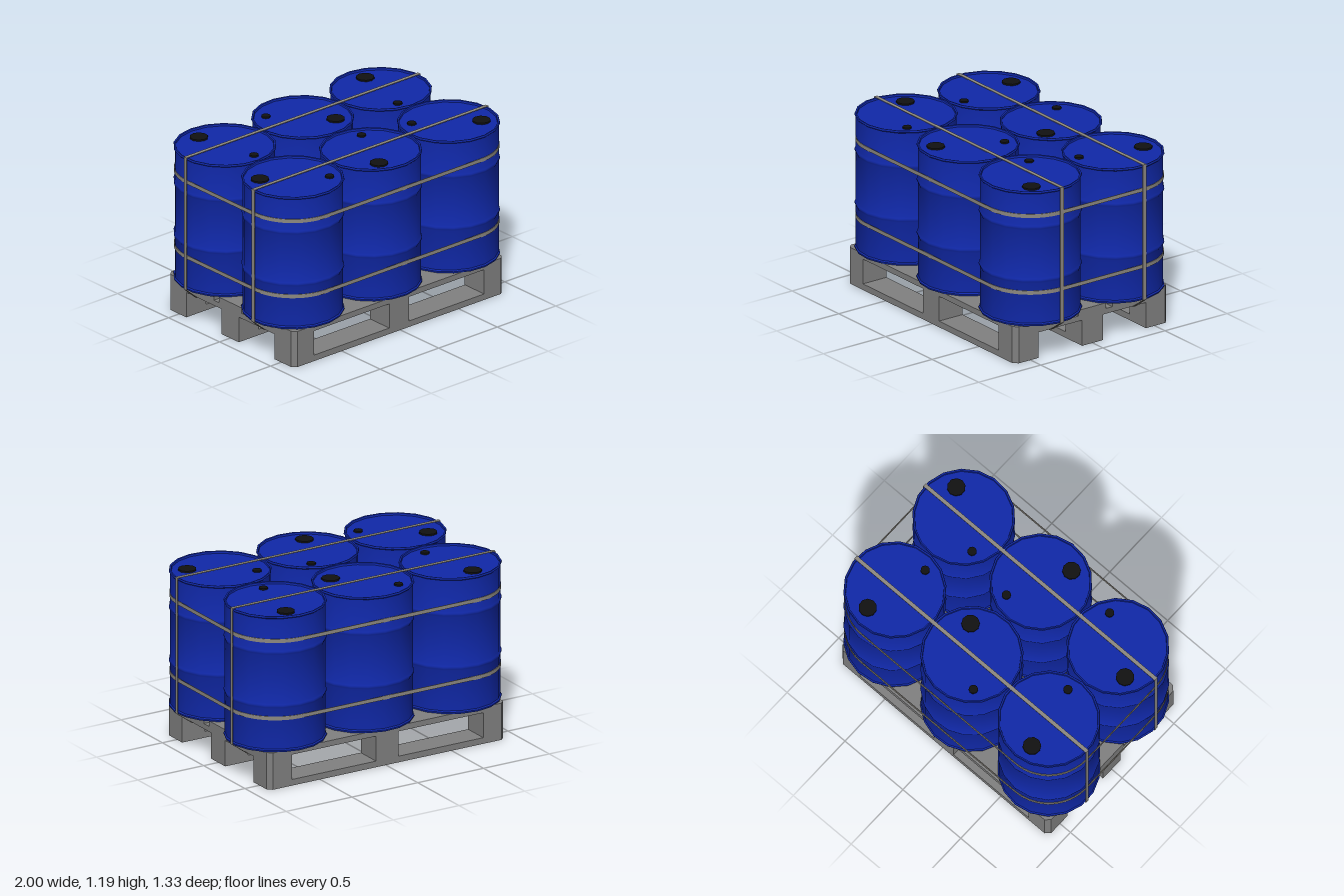
import * as THREE from 'three';
import { toCreasedNormals } from 'three/addons/utils/BufferGeometryUtils.js';

const mat = (color) => new THREE.MeshStandardMaterial({ color });
const blue = mat(0x1028a8), black = mat(0x111111), wood = mat(0x808080), band = mat(0x8c8880);

function add(parent, name, geometry, material, x = 0, y = 0, z = 0) {
  const mesh = new THREE.Mesh(geometry, material);
  mesh.name = name;
  mesh.position.set(x, y, z);
  parent.add(mesh);
  return mesh;
}

// Extrudes a plan drawn in (x, z) between two heights
function plan(shape, y0, y1, curveSegments = 12) {
  const g = new THREE.ExtrudeGeometry(shape, { depth: y1 - y0, bevelEnabled: false, curveSegments });
  return g.rotateX(Math.PI / 2).translate(0, y1, 0);
}

// Pallet extents
const X0 = -0.91, X1 = 0.89, Z0 = -0.615, Z1 = 0.625;

// Rectangular timber, chamfered wherever it meets an outer corner of the pallet
function timber(x0, x1, z0, z1, y0, y1) {
  const pts = [];
  const corners = [[x0, z0, 0], [x1, z0, 1], [x1, z1, 0], [x0, z1, 1]];
  for (const [x, z, flip] of corners) {
    if ((x === X0 || x === X1) && (z === Z0 || z === Z1)) {
      const c = 0.03;
      const alongX = new THREE.Vector2(x - Math.sign(x) * c, z);
      const alongZ = new THREE.Vector2(x, z - Math.sign(z) * c);
      pts.push(...(flip ? [alongX, alongZ] : [alongZ, alongX]));
    } else pts.push(new THREE.Vector2(x, z));
  }
  return plan(new THREE.Shape(pts), y0, y1);
}

function createPallet() {
  const pallet = new THREE.Group();
  pallet.name = 'pallet';
  const columns = [[X0, -0.74], [-0.095, 0.075], [0.715, X1]];
  const rows = [[Z0, -0.43], [-0.085, 0.085], [0.435, Z1]];
  const deck = [[Z0, -0.4], [-0.345, -0.16], [-0.108, 0.113], [0.173, 0.345], [0.405, Z1]];
  for (const [z0, z1] of rows) {
    add(pallet, 'bottomBoard', timber(X0, X1, z0, z1, 0, 0.042), wood);
    for (const [x0, x1] of columns) add(pallet, 'block', timber(x0, x1, z0, z1, 0.042, 0.177), wood);
  }
  for (const [x0, x1] of columns) add(pallet, 'crossBoard', timber(x0, x1, Z0, Z1, 0.177, 0.213), wood);
  for (const [z0, z1] of deck) add(pallet, 'deckBoard', timber(X0, X1, z0, z1, 0.213, 0.252), wood);
  return pallet;
}

// Drum profile: recessed ends, beaded rims and two rolling hoops
function drumGeometry() {
  const R = 0.333, r = 0.325;
  const pts = [[0, 0.27], [0.318, 0.27], [0.32, 0.254], [0.33, 0.252], [R, 0.258], [R, 0.264], [r, 0.272]];
  for (const y of [0.568, 0.935]) {
    pts.push([r, y - 0.022], [0.331, y - 0.009], [R, y], [0.331, y + 0.009], [r, y + 0.022]);
  }
  pts.push([r, 1.166], [R, 1.173], [R, 1.18], [0.33, 1.185], [0.32, 1.183], [0.318, 1.17], [0, 1.17]);
  const lathe = new THREE.LatheGeometry(pts.map(([x, y]) => new THREE.Vector2(x, y)), 18);
  return toCreasedNormals(lathe, 0.6);
}

function createDrums() {
  const drums = new THREE.Group();
  drums.name = 'drums';
  const body = drumGeometry();
  const bigCap = new THREE.CylinderGeometry(0.06, 0.06, 0.012, 10);
  const smallCap = new THREE.CylinderGeometry(0.03, 0.03, 0.012, 10);
  // Direction of the large cap on each drum, as (x, z)
  const turns = [
    [[-0.04, -0.21], [0.15, 0.155], [0.05, -0.21]],
    [[-0.175, -0.125], [-0.095, 0.19], [0.17, 0.12]],
  ];
  turns.forEach((row, j) => row.forEach(([dx, dz], i) => {
    const drum = new THREE.Group();
    drum.name = 'drum';
    drum.position.set((i - 1) * 0.665, 0, j ? 0.333 : -0.333);
    drum.rotation.y = -Math.atan2(dz, dx);
    add(drum, 'drumBody', body, blue);
    add(drum, 'largeCap', bigCap, black, 0.213, 1.175, 0);
    add(drum, 'smallCap', smallCap, black, -0.238, 1.175, 0);
    drums.add(drum);
  }));
  return drums;
}

// Closed outline hugging the six drums at radius r
function hull(path, r) {
  const q = Math.PI / 2;
  [[1, 1], [-1, 1], [-1, -1], [1, -1]].forEach(([sx, sz], k) =>
    path.absarc(sx * 0.665, sz * 0.333, r, k * q, (k + 1) * q, false));
  path.closePath();
  return path;
}

function createStraps() {
  const straps = new THREE.Group();
  straps.name = 'straps';
  // Level bands around the whole load
  for (const y of [0.484, 1.015]) {
    const ring = hull(new THREE.Shape(), 0.328);
    ring.holes.push(hull(new THREE.Path(), 0.324));
    add(straps, 'levelStrap', toCreasedNormals(plan(ring, y - 0.013, y + 0.013, 8), 0.6), band);
  }
  // Upright bands over the drums and under the deck
  const loop = (t) => [
    [1 - t, 1.19 - t], [-1 + t, 1.19 - t], [-1 + t, 0.252 + t / 2],
    [X0 + t / 2, 0.172 + t], [X1 - t / 2, 0.172 + t], [1 - t, 0.252 + t / 2],
  ].map(([x, y]) => new THREE.Vector2(x, y));
  const shape = new THREE.Shape(loop(0));
  shape.holes.push(new THREE.Path(loop(0.004)));
  const upright = new THREE.ExtrudeGeometry(shape, { depth: 0.026, bevelEnabled: false });
  for (const z of [0.328, -0.337]) add(straps, 'uprightStrap', upright, band, 0, 0, z - 0.013);
  return straps;
}

export function createModel() {
  const model = new THREE.Group();
  model.name = 'strappedDrumPallet';
  model.add(createPallet(), createDrums(), createStraps());
  return model;
}
